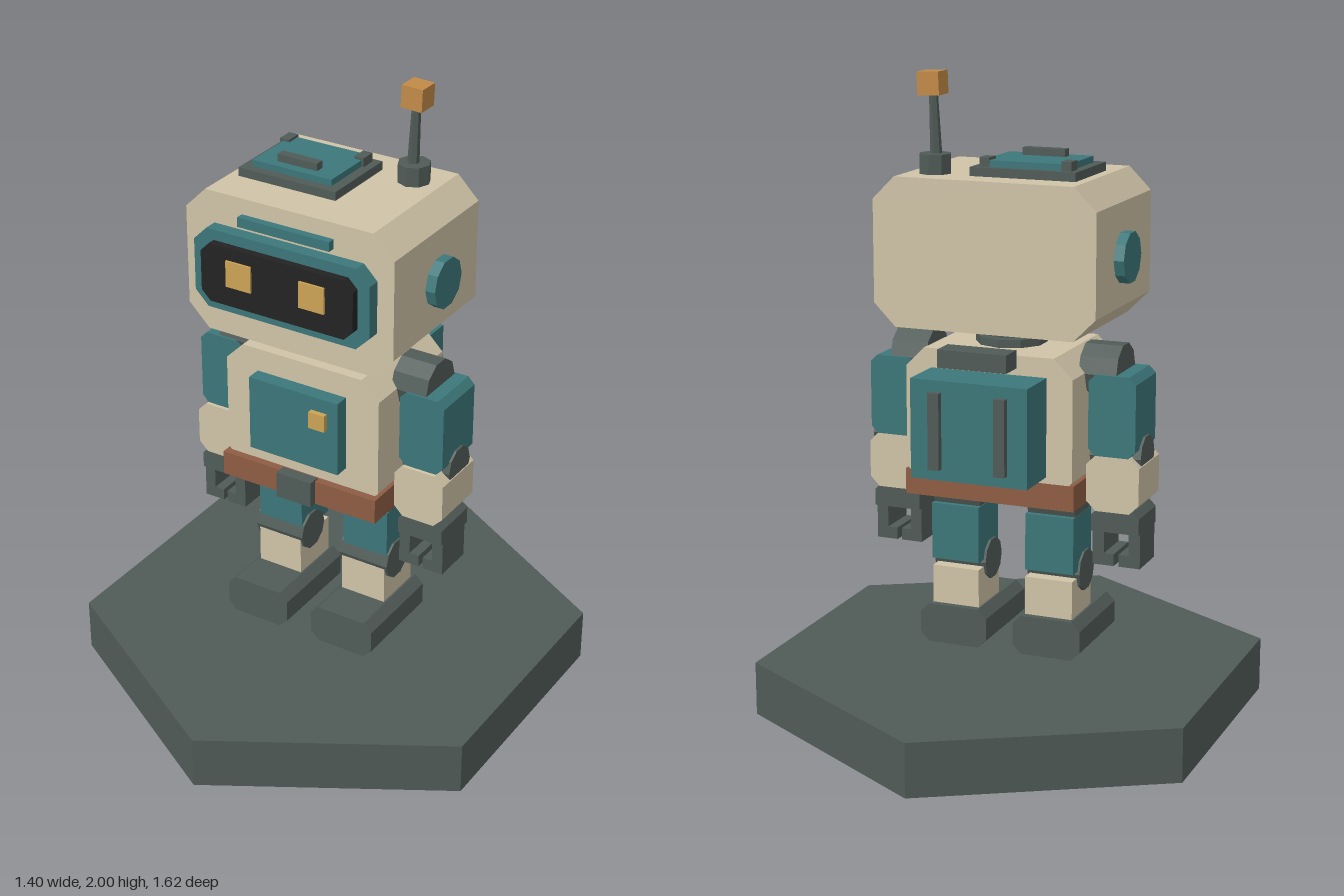
import * as THREE from 'three';

const mat = (name, color) => {
  const m = new THREE.MeshStandardMaterial({ color, flatShading: true });
  m.name = name;
  return m;
};

export function createModel() {
  const cream = mat('cream', 0xd0c3a7);
  const teal = mat('teal', 0x3c777a);
  const gray = mat('gray', 0x505b57);
  const brown = mat('brown', 0x8f5d44);
  const black = mat('black', 0x232323);
  const amber = mat('amber', 0xcca354);
  const orange = mat('orange', 0xc28b47);

  const model = new THREE.Group();
  model.name = 'robot';

  const add = (parent, name, geo, material) => {
    const mesh = new THREE.Mesh(geo, material);
    mesh.name = name;
    parent.add(mesh);
    return mesh;
  };

  // Box given by its extents on each axis
  const box = (parent, name, material, [x0, x1], [y0, y1], [z0, z1]) =>
    add(parent, name, new THREE.BoxGeometry(x1 - x0, y1 - y0, z1 - z0)
      .translate((x0 + x1) / 2, (y0 + y1) / 2, (z0 + z1) / 2), material);

  // Block with cut corners in the front plane; top and bottom cuts may differ
  const block = (parent, name, material, [x0, x1], [y0, y1], [z0, z1], top, bottom = top) => {
    const pts = [];
    const corner = (...p) => pts.push(...p.map(([x, y]) => new THREE.Vector2(x, y)));
    if (bottom) corner([x0, y0 + bottom], [x0 + bottom, y0], [x1 - bottom, y0], [x1, y0 + bottom]);
    else corner([x0, y0], [x1, y0]);
    corner([x1, y1 - top], [x1 - top, y1], [x0 + top, y1], [x0, y1 - top]);
    const geo = new THREE.ExtrudeGeometry(new THREE.Shape(pts), { depth: z1 - z0, bevelEnabled: false });
    return add(parent, name, geo.translate(0, 0, z0), material);
  };

  // Faceted cylinder lying along x
  const joint = (parent, name, material, [x0, x1], y, z, r) =>
    add(parent, name, new THREE.CylinderGeometry(r, r, x1 - x0, 10)
      .rotateX(Math.PI / 2).rotateY(Math.PI / 2).rotateX(Math.PI / 2)
      .translate((x0 + x1) / 2, y, z), material);

  // Upright faceted cylinder
  const post = (parent, name, material, x, z, [y0, y1], r0, r1, sides) =>
    add(parent, name, new THREE.CylinderGeometry(r1, r0, y1 - y0, sides)
      .translate(x, (y0 + y1) / 2, z), material);

  const group = (name) => {
    const g = new THREE.Group();
    g.name = name;
    model.add(g);
    return g;
  };

  // Hexagonal stand
  post(model, 'stand', gray, 0, 0, [0, 0.17], 0.808, 0.808, 6);

  // Torso with belt and chest panel
  const torso = group('torso');
  block(torso, 'chest', cream, [-0.27, 0.27], [0.78, 1.175], [-0.187, 0.19], 0.06, 0.02);
  box(torso, 'belt', brown, [-0.275, 0.275], [0.71, 0.79], [-0.187, 0.215]);
  box(torso, 'buckle', gray, [-0.062, 0.062], [0.71, 0.795], [0.2, 0.24]);
  box(torso, 'chestPanel', teal, [-0.157, 0.157], [0.855, 1.1], [0.18, 0.238]);
  box(torso, 'chestButton', amber, [0.065, 0.12], [1.0, 1.055], [0.23, 0.255]);
  post(torso, 'collar', gray, 0, 0, [1.17, 1.2], 0.11, 0.11, 10);
  post(torso, 'neck', gray, 0, 0, [1.17, 1.25], 0.083, 0.083, 10);

  // Backpack with vents and a raised handle
  const pack = group('backpack');
  box(pack, 'pack', teal, [-0.187, 0.187], [0.81, 1.115], [-0.34, -0.18]);
  for (const x of [-0.105, 0.105])
    box(pack, 'vent', gray, [x - 0.018, x + 0.018], [0.845, 1.08], [-0.36, -0.335]);
  box(pack, 'packHandle', gray, [-0.11, 0.11], [1.148, 1.203], [-0.315, -0.235]);

  // Head with visor and eyes
  const head = group('head');
  block(head, 'skull', cream, [-0.355, 0.355], [1.24, 1.695], [-0.228, 0.255], 0.07);
  block(head, 'visorFrame', teal, [-0.3, 0.3], [1.34, 1.595], [0.25, 0.297], 0.045);
  block(head, 'visor', black, [-0.26, 0.26], [1.375, 1.562], [0.29, 0.322], 0.03);
  for (const x of [-0.126, 0.124])
    box(head, 'eye', amber, [x - 0.043, x + 0.043], [1.44, 1.523], [0.32, 0.329]);
  box(head, 'brow', teal, [-0.158, 0.155], [1.615, 1.645], [0.25, 0.28]);
  for (const s of [-1, 1])
    joint(head, 'ear', teal, [s * 0.367 - 0.02, s * 0.367 + 0.02], 1.46, 0, 0.079);

  // Roof hatch
  box(head, 'hatchBase', gray, [-0.255, 0.08], [1.69, 1.722], [-0.135, 0.127]);
  box(head, 'hatchLid', teal, [-0.225, 0.048], [1.72, 1.742], [-0.115, 0.097]);
  for (const x of [-0.22, 0.04])
    box(head, 'hatchHinge', gray, [x - 0.016, x + 0.016], [1.72, 1.75], [-0.118, -0.068]);
  box(head, 'hatchHandle', gray, [-0.157, -0.02], [1.74, 1.765], [0.037, 0.067]);

  // Antenna, leaning very slightly
  post(head, 'antennaBase', gray, 0.2, -0.115, [1.69, 1.755], 0.05, 0.05, 8);
  const rod = post(head, 'antennaRod', gray, 0, 0, [0, 0.2], 0.018, 0.013, 6);
  rod.position.set(0.198, 1.75, -0.112);
  rod.rotation.z = -0.04;
  const tip = add(head, 'antennaTip', new THREE.BoxGeometry(0.07, 0.07, 0.07), orange);
  tip.position.set(0.207, 1.964, -0.115);
  tip.rotation.z = -0.04;

  // Arms and legs, mirrored by side
  for (const s of [-1, 1]) {
    const span = (a, b) => (s > 0 ? [a, b] : [-b, -a]);
    const side = s > 0 ? 'left' : 'right';

    const arm = group(side + 'Arm');
    joint(arm, 'shoulder', gray, span(0.25, 0.37), 1.113, 0, 0.086);
    block(arm, 'upperArm', teal, span(0.285, 0.435), [0.865, 1.115], [-0.093, 0.093], 0.022);
    joint(arm, 'elbow', gray, span(0.28, 0.443), 0.858, 0, 0.064);
    block(arm, 'forearm', cream, span(0.277, 0.445), [0.69, 0.865], [-0.085, 0.105], 0.03);
    block(arm, 'palm', gray, span(0.287, 0.44), [0.62, 0.692], [-0.065, 0.095], 0.02, 0);
    for (const [a, b, c, d] of [[0.287, 0.324, 0.324, 0.356], [0.403, 0.44, 0.371, 0.403]]) {
      box(arm, 'finger', gray, span(a, b), [0.51, 0.625], [-0.05, 0.085]);
      box(arm, 'fingertip', gray, span(c, d), [0.51, 0.548], [-0.05, 0.085]);
    }

    const leg = group(side + 'Leg');
    joint(leg, 'hip', gray, span(0.08, 0.235), 0.69, 0, 0.075);
    box(leg, 'thigh', teal, span(0.078, 0.236), [0.475, 0.655], [-0.082, 0.075]);
    joint(leg, 'knee', gray, span(0.07, 0.243), 0.465, 0.02, 0.066);
    box(leg, 'shin', cream, span(0.078, 0.233), [0.32, 0.452], [-0.083, 0.083]);
    block(leg, 'foot', gray, span(0.045, 0.267), [0.205, 0.33], [-0.105, 0.217], 0.028);
  }

  return model;
}
